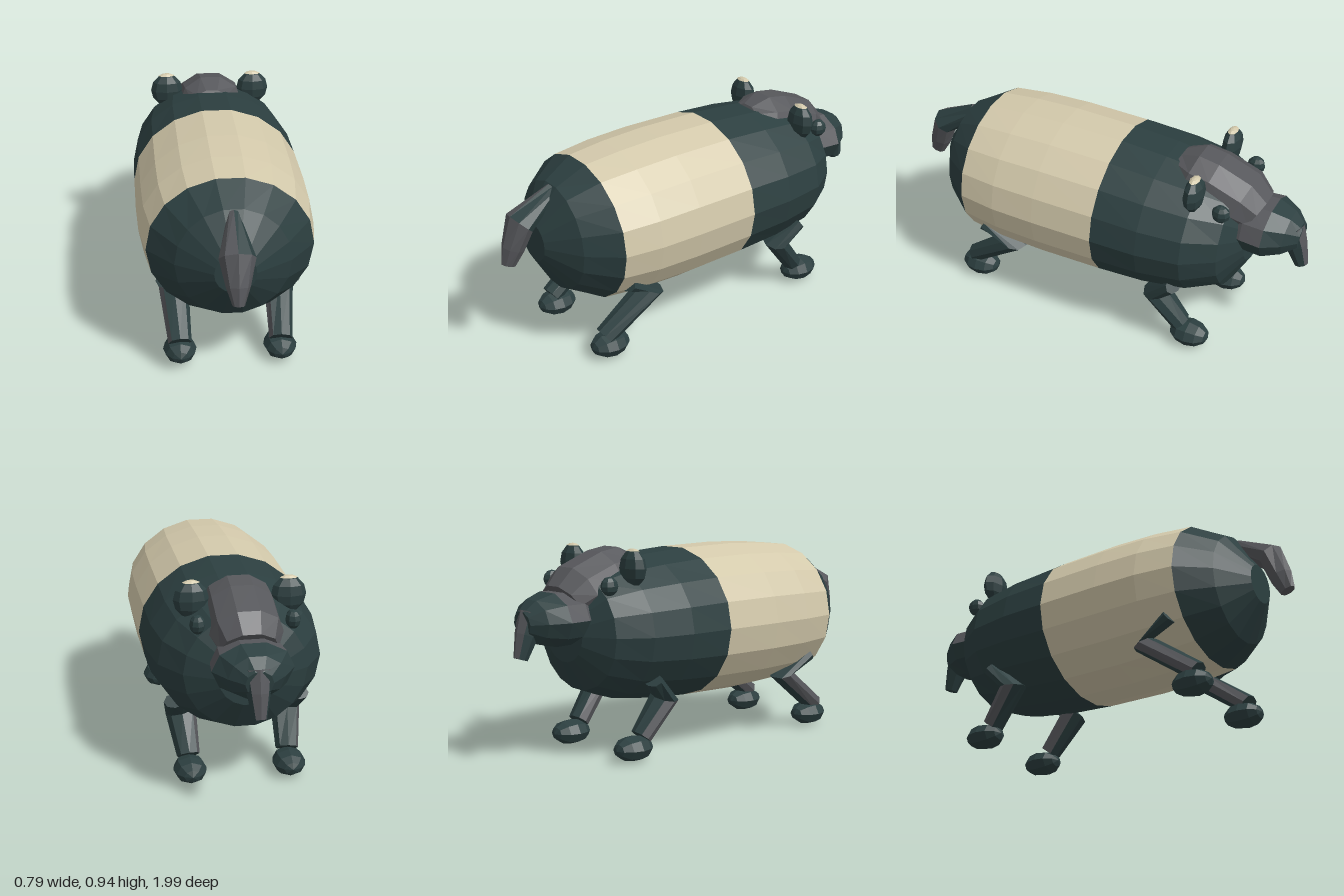
import * as THREE from 'three';

const mat = (name, color) => {
  const m = new THREE.MeshStandardMaterial({ color, flatShading: true });
  m.name = name;
  return m;
};

// Faceted loft through elliptical rings [x, y, z, halfWidth, halfHeight];
// pick(normal, centre) chooses the material index of each face.
function loft(rings, sides, materials, pick = () => 0) {
  const centres = rings.map(r => new THREE.Vector3(r[0], r[1], r[2]));
  const last = rings.length - 1;
  const loops = rings.map((r, i) => {
    const t = centres[Math.min(i + 1, last)].clone().sub(centres[Math.max(i - 1, 0)]).normalize();
    const side = new THREE.Vector3(1, 0, 0).addScaledVector(t, -t.x).normalize();
    const up = t.clone().cross(side);
    return Array.from({ length: sides }, (_, j) => {
      const a = (j / sides) * Math.PI * 2;
      return centres[i].clone()
        .addScaledVector(side, Math.cos(a) * r[3])
        .addScaledVector(up, Math.sin(a) * r[4]);
    });
  });
  const buckets = materials.map(() => []);
  const face = (...p) => {
    const n = p[1].clone().sub(p[0]).cross(p[2].clone().sub(p[0])).normalize();
    const c = p.reduce((s, v) => s.add(v), new THREE.Vector3()).divideScalar(p.length);
    const out = buckets[pick(n, c)];
    for (let k = 1; k < p.length - 1; k++)
      for (const v of [p[0], p[k], p[k + 1]]) out.push(v.x, v.y, v.z);
  };
  for (let j = 0; j < sides; j++) {
    const k = (j + 1) % sides;
    face(centres[0], loops[0][k], loops[0][j]);
    face(centres[last], loops[last][j], loops[last][k]);
    for (let i = 0; i < last; i++)
      face(loops[i][j], loops[i][k], loops[i + 1][k], loops[i + 1][j]);
  }
  const g = new THREE.BufferGeometry();
  g.setAttribute('position', new THREE.Float32BufferAttribute(buckets.flat(), 3));
  let start = 0;
  buckets.forEach((b, i) => {
    g.addGroup(start, b.length / 3, i);
    start += b.length / 3;
  });
  g.computeVertexNormals();
  return new THREE.Mesh(g, materials);
}

export function createModel() {
  const dark = mat('dark hide', 0x2c3f40);
  const grey = mat('grey hide', 0x56575b);
  const cream = mat('cream hide', 0xd3c9ab);
  const model = new THREE.Group();
  const add = (name, mesh) => {
    mesh.name = name;
    model.add(mesh);
    return mesh;
  };
  const ball = (name, material, pos, size, segs = 8, rows = 6, cap = Math.PI) => {
    const m = add(name, new THREE.Mesh(
      new THREE.SphereGeometry(1, segs, rows, 0, Math.PI * 2, 0, cap), material));
    m.position.set(...pos);
    m.scale.set(...size);
    return m;
  };

  // Barrel body with the pale saddle
  const body = [
    [-0.735, 0.13, 0.125], [-0.66, 0.27, 0.258], [-0.52, 0.36, 0.31],
    [-0.32, 0.39, 0.335], [-0.1, 0.393, 0.35], [0.2, 0.395, 0.355],
    [0.41, 0.39, 0.347], [0.59, 0.365, 0.33], [0.73, 0.25, 0.253], [0.83, 0.09, 0.09],
  ].map(([z, w, h]) => [0, 0.557, z, w, h]);
  add('body', loft(body, 18, [dark, cream], (n, c) => (c.z > -0.1 && c.z < 0.59 ? 1 : 0)));

  // Forehead, muzzle and drooping nose
  add('forehead', loft([
    [0, 0.84, -0.35, 0.09, 0.06], [0, 0.8, -0.43, 0.155, 0.137], [0, 0.785, -0.53, 0.16, 0.135],
    [0, 0.735, -0.67, 0.16, 0.13], [0, 0.69, -0.74, 0.125, 0.1],
  ], 10, [grey]));
  add('muzzle', loft([
    [0, 0.63, -0.66, 0.14, 0.1], [0, 0.63, -0.72, 0.165, 0.12], [0, 0.63, -0.82, 0.175, 0.122],
    [0, 0.625, -0.9, 0.12, 0.1], [0, 0.62, -0.955, 0.06, 0.055],
  ], 10, [dark, grey], (n, c) => (c.z > -0.82 && n.y > 0.2 ? 1 : 0)));
  add('nose', loft([
    [0, 0.66, -0.9, 0.065, 0.065], [0, 0.57, -0.935, 0.05, 0.052], [0, 0.47, -0.967, 0.03, 0.032],
  ], 8, [dark, grey], n => (n.z < -0.75 ? 1 : 0)));

  // Tail bent down at its middle
  add('tail', loft([
    [0, 0.78, 0.72, 0.025, 0.035], [0, 0.67, 0.895, 0.078, 0.062],
    [0, 0.56, 0.935, 0.052, 0.052], [0, 0.485, 0.962, 0.026, 0.035],
  ], 8, [grey, dark], (n, c) => (c.z < 0.86 && n.x > 0.3 ? 1 : 0)));

  for (const s of [1, -1]) {
    const side = s > 0 ? 'left' : 'right';

    // Ears with pale tips, and eyes
    ball(side + 'Ear', dark, [s * 0.212, 0.845, -0.52], [0.078, 0.083, 0.044]);
    ball(side + 'EarTip', cream, [s * 0.212, 0.848, -0.52], [0.079, 0.083, 0.045], 8, 1, 0.52);
    ball(side + 'Eye', dark, [s * 0.205, 0.775, -0.645], [0.034, 0.042, 0.042]);

    // Bent legs and rounded feet
    const legs = {
      Front: [[0.28, 0.36, -0.47, 0.05, 0.035], [0.24, 0.265, -0.365, 0.07, 0.058], [0.225, 0.1, -0.49, 0.052, 0.045]],
      Hind: [[0.28, 0.365, 0.53, 0.045, 0.035], [0.24, 0.285, 0.375, 0.07, 0.055], [0.225, 0.1, 0.625, 0.052, 0.045]],
    };
    for (const [end, path] of Object.entries(legs)) {
      const rings = path.map(([x, ...rest]) => [s * x, ...rest]);
      add(side + end + 'Leg', loft(rings, 8, [dark, grey],
        (n, c) => (n.x < -0.5 && c.y < 0.25 ? 1 : 0)));
      const foot = ball(side + end + 'Foot', dark,
        [s * 0.225, 0.054, end === 'Front' ? -0.535 : 0.597], [0.075, 0.095, 0.058]);
      foot.rotation.x = Math.PI / 2;
    }
  }
  return model;
}
